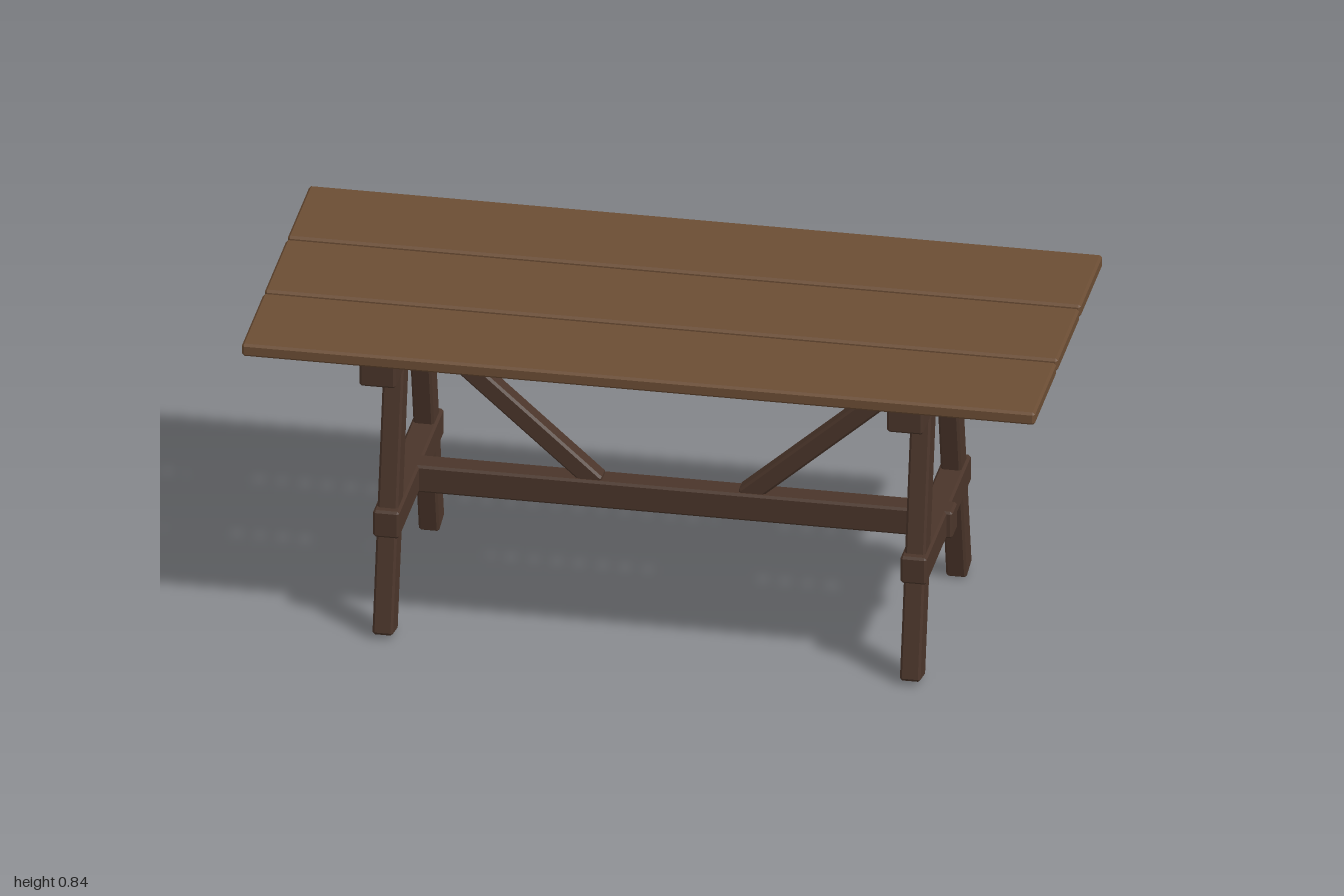
import * as THREE from 'three';
import { ConvexGeometry } from 'three/addons/geometries/ConvexGeometry.js';

const topWood = new THREE.MeshStandardMaterial({ color: 0x6b4d34 });
const frameWood = new THREE.MeshStandardMaterial({ color: 0x4a352a });

// A timber: a box with every edge chamfered by b
function timber(name, w, h, d, material, b = 0.006) {
  const points = [];
  for (const x of [-w / 2, w / 2])
    for (const y of [-h / 2, h / 2])
      for (const z of [-d / 2, d / 2]) {
        const ix = x - Math.sign(x) * b, iy = y - Math.sign(y) * b, iz = z - Math.sign(z) * b;
        points.push(
          new THREE.Vector3(x, iy, iz),
          new THREE.Vector3(ix, y, iz),
          new THREE.Vector3(ix, iy, z));
      }
  const mesh = new THREE.Mesh(new ConvexGeometry(points), material);
  mesh.name = name;
  return mesh;
}

export function createModel() {
  const table = new THREE.Group();
  table.name = 'trestleTable';
  const add = (mesh, x, y, z) => {
    mesh.position.set(x, y, z);
    table.add(mesh);
    return mesh;
  };

  // Table top: three planks with narrow gaps
  for (const i of [-1, 0, 1])
    add(timber('topPlank', 2, 0.034, 0.287, topWood), 0, 0.828, i * 0.3);

  // Long stretcher joining the two trestles
  add(timber('stretcher', 1.426, 0.074, 0.066, frameWood), 0, 0.3, 0);

  const splay = THREE.MathUtils.degToRad(12);
  const legLength = 0.79;
  for (const side of [-1, 1]) {
    const x = side * 0.665;

    // Trestle: top beam and lower crossbar
    add(timber('topBeam', 0.092, 0.074, 0.81, frameWood), x, 0.774, 0);
    add(timber('crossbar', 0.066, 0.074, 0.587, frameWood), x, 0.3, 0);

    // Splayed legs, square-cut at the foot
    for (const face of [-1, 1]) {
      const leg = add(timber('leg', 0.052, legLength, 0.073, frameWood), x,
        0.009 + Math.cos(splay) * legLength / 2,
        face * (0.304 - Math.sin(splay) * legLength / 2));
      leg.rotation.x = -face * splay;
    }

    // Diagonal brace from the stretcher up to the top beam
    const low = new THREE.Vector2(0.185, 0.322), high = new THREE.Vector2(0.67, 0.751);
    const run = high.clone().sub(low), mid = low.clone().add(high).multiplyScalar(0.5);
    const brace = add(timber('brace', run.length(), 0.05, 0.049, frameWood), side * mid.x, mid.y, 0);
    brace.rotation.z = side * run.angle();
  }
  return table;
}
